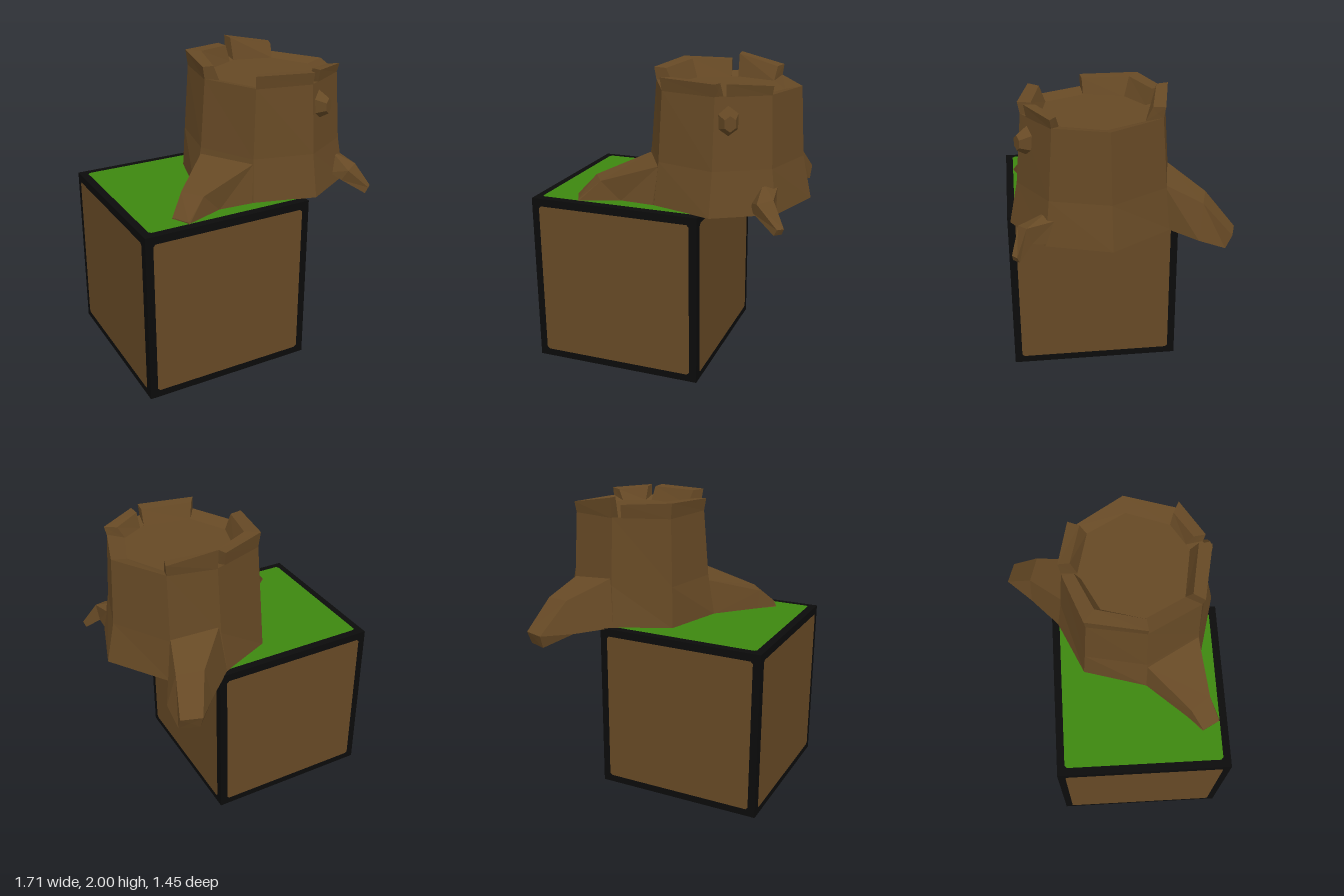
import * as THREE from 'three';

const bark = new THREE.MeshStandardMaterial({ color: 0x664925, flatShading: true });
bark.name = 'brown';
const grass = new THREE.MeshStandardMaterial({ color: 0x3d8810, flatShading: true });
grass.name = 'green';
const edge = new THREE.MeshStandardMaterial({ color: 0x0b0b0b, flatShading: true });
edge.name = 'black';

const lerp = (a, b, t) => a.map((v, i) => v + (b[i] - v) * t);

// Closed solid through a list of cross-sections with equal point counts
function loft(name, sections, material) {
  const tris = [];
  const n = sections[0].length;
  for (let s = 0; s < sections.length - 1; s++) {
    for (let i = 0; i < n; i++) {
      const j = (i + 1) % n;
      const [a, b, c, d] = [sections[s][i], sections[s][j], sections[s + 1][j], sections[s + 1][i]];
      tris.push([a, b, c], [a, c, d]);
    }
  }
  const cap = (ring, flip) => {
    const mid = [0, 1, 2].map((k) => ring.reduce((sum, p) => sum + p[k], 0) / n);
    ring.forEach((p, i) => {
      const q = ring[(i + 1) % n];
      tris.push(flip ? [mid, q, p] : [mid, p, q]);
    });
  };
  cap(sections[0], true);
  cap(sections[sections.length - 1], false);
  // Turn every face outward by the sign of the volume
  let volume = 0;
  for (const [a, b, c] of tris) {
    volume += new THREE.Vector3(...a).dot(new THREE.Vector3(...b).cross(new THREE.Vector3(...c)));
  }
  if (volume < 0) tris.forEach((t) => t.reverse());
  const geometry = new THREE.BufferGeometry();
  geometry.setAttribute('position', new THREE.Float32BufferAttribute(tris.flat(2), 3));
  geometry.computeVertexNormals();
  const mesh = new THREE.Mesh(geometry, material);
  mesh.name = name;
  return mesh;
}

// Black block with an inset plate on every side
function createBlock() {
  const block = new THREE.Group();
  block.name = 'block';
  const size = 1.14;
  const body = new THREE.Mesh(new THREE.BoxGeometry(size, size, size), edge);
  body.name = 'blockEdges';
  block.add(body);
  const h = size / 2 - 0.05;
  const k = h - 0.015;
  const shape = new THREE.Shape(
    [[-k, -h], [k, -h], [h, -k], [h, k], [k, h], [-k, h], [-h, k], [-h, -k]].map((p) => new THREE.Vector2(...p)),
  );
  const plate = new THREE.ShapeGeometry(shape);
  const sides = [
    ['frontPanel', 0, 0], ['rightPanel', 0, Math.PI / 2], ['backPanel', 0, Math.PI],
    ['leftPanel', 0, -Math.PI / 2], ['grassTop', -Math.PI / 2, 0], ['bottomPanel', Math.PI / 2, 0],
  ];
  for (const [name, rx, ry] of sides) {
    const panel = new THREE.Mesh(plate, name === 'grassTop' ? grass : bark);
    panel.name = name;
    panel.rotation.set(rx, ry, 0);
    panel.translateZ(size / 2 + 0.003);
    block.add(panel);
  }
  block.position.set(-0.285, size / 2, 0.15);
  return block;
}

// Stump rings as x, z pairs, going round from the back left corner
const baseRing = [[-0.15, -0.215], [0.21, -0.38], [0.58, -0.31], [0.85, 0.09], [0.72, 0.49], [0.355, 0.7], [-0.05, 0.59], [-0.27, 0.2]];
const midRing = [[-0.14, -0.2], [0.235, -0.345], [0.56, -0.28], [0.79, 0.09], [0.68, 0.46], [0.355, 0.645], [-0.03, 0.55], [-0.22, 0.2]];
const topRing = [[-0.12, -0.18], [0.24, -0.315], [0.55, -0.25], [0.765, 0.095], [0.66, 0.43], [0.355, 0.605], [-0.01, 0.53], [-0.185, 0.19]];
const floorRing = [[0, -0.085], [0.25, -0.215], [0.52, -0.145], [0.655, 0.105], [0.555, 0.38], [0.375, 0.49], [0.055, 0.435], [-0.075, 0.18]];
const at = (ring, y) => ring.map(([x, z]) => [x, y, z]);

// Raised rim piece along one stump side, from fraction t0 to t1, with end heights
function rimPiece(i, t0, t1, y0, y1) {
  const j = (i + 1) % 8;
  const section = (t, y) => {
    const [ox, oz] = lerp(topRing[i], topRing[j], t);
    const [ix, iz] = lerp(floorRing[i], floorRing[j], t);
    const [cx, cz] = [0.27, 0.13];
    const outX = ox + (ox - cx) * 0.03;
    const outZ = oz + (oz - cz) * 0.03;
    return [
      [ox, 1.865, oz], [outX, y, outZ],
      [ox + (ix - ox) * 0.6, y - 0.005, oz + (iz - oz) * 0.6], [ix, 1.845, iz],
    ];
  };
  return loft('rimPiece', [section(t0, y0), section(t1, y1)], bark);
}

function createStump() {
  const stump = new THREE.Group();
  stump.name = 'stump';
  stump.add(loft('trunk', [at(baseRing, 1.14), at(midRing, 1.42), at(topRing, 1.87), at(floorRing, 1.845)], bark));

  // Broken rim: side index, start, end, heights
  const rim = [
    [7, 0, 1, 1.95, 1.97], [0, 0, 0.84, 1.97, 1.955], [1, 0, 1, 2.0, 1.94],
    [4, 0, 0.8, 1.925, 1.945], [5, 0, 1, 1.945, 1.95],
  ];
  rim.forEach((r) => stump.add(rimPiece(...r)));

  // Roots: each section runs base, top, top, base
  stump.add(loft('leftFrontRoot', [
    [[-0.2, 1.14, 0.22], [-0.17, 1.39, 0.23], [0, 1.4, 0.5], [0, 1.14, 0.52]],
    [[-0.27, 1.14, 0.2], [-0.22, 1.38, 0.2], [-0.03, 1.39, 0.55], [-0.06, 1.14, 0.59]],
    [[-0.5, 1.14, 0.455], [-0.5, 1.27, 0.475], [-0.41, 1.27, 0.605], [-0.285, 1.14, 0.575]],
    [[-0.605, 1.14, 0.55], [-0.6, 1.15, 0.555], [-0.545, 1.15, 0.665], [-0.54, 1.14, 0.67]],
  ], bark));
  stump.add(loft('backRoot', [
    [[0.2, 1.14, -0.37], [0.24, 1.47, -0.33], [0.55, 1.44, -0.26], [0.59, 1.14, -0.3]],
    [[0.41, 1.12, -0.56], [0.46, 1.34, -0.55], [0.63, 1.33, -0.5], [0.685, 1.1, -0.47]],
    [[0.565, 1.04, -0.69], [0.56, 1.13, -0.725], [0.695, 1.13, -0.68], [0.69, 1.04, -0.64]],
  ], bark));
  stump.add(loft('smallFrontRoot', [
    [[0.57, 1.21, 0.53], [0.63, 1.33, 0.47], [0.71, 1.3, 0.43], [0.72, 1.15, 0.46]],
    [[0.61, 1.18, 0.62], [0.64, 1.25, 0.65], [0.73, 1.27, 0.6], [0.72, 1.16, 0.57]],
    [[0.76, 1.08, 0.69], [0.78, 1.12, 0.695], [0.815, 1.12, 0.665], [0.8, 1.08, 0.65]],
  ], bark));

  // Faceted knob on the front side
  const knob = new THREE.Mesh(new THREE.CylinderGeometry(0.045, 0.1, 0.1, 6).rotateX(Math.PI / 2), bark);
  knob.name = 'knob';
  knob.scale.set(0.85, 1.1, 1);
  knob.position.set(0.44, 1.72, 0.59);
  knob.rotation.y = 0.48;
  stump.add(knob);
  return stump;
}

export function createModel() {
  const model = new THREE.Group();
  model.name = 'stumpOnBlock';
  model.add(createBlock(), createStump());
  return model;
}
